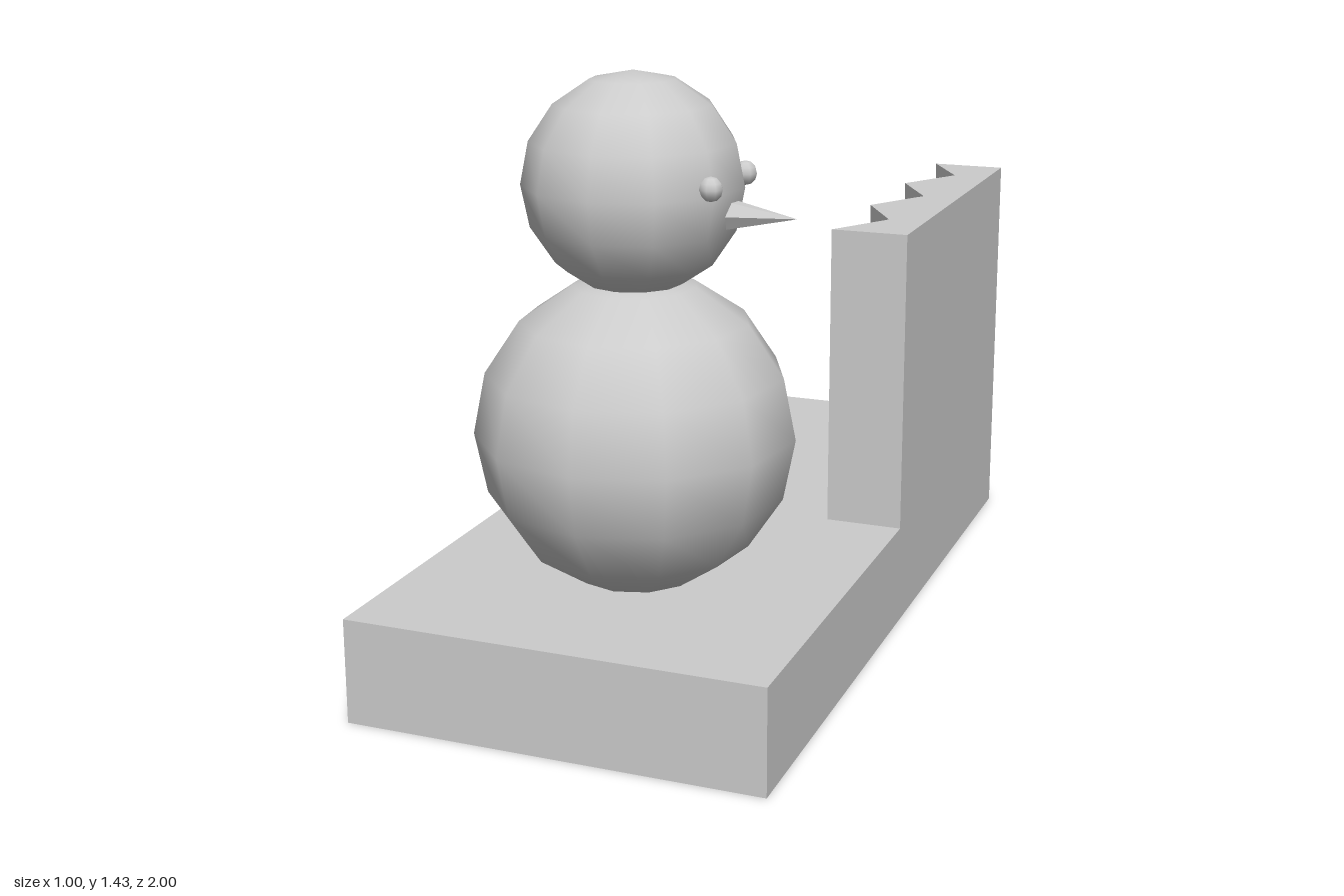
import * as THREE from 'three';

export function createModel() {
  const model = new THREE.Group();
  const grey = new THREE.MeshStandardMaterial({ color: 0xcccccc });
  grey.name = 'light grey';
  const greyFaceted = grey; // one colour throughout

  function add(name, geometry, x, y, z, parent = model) {
    const mesh = new THREE.Mesh(geometry, greyFaceted);
    mesh.name = name;
    mesh.position.set(x, y, z);
    parent.add(mesh);
    return mesh;
  }

  // Ground slab
  add('base', new THREE.BoxGeometry(1, 0.25, 2), 0, 0.125, 0);

  // Wall with a zigzag inner face; the shape's y is -z
  const outline = new THREE.Shape();
  outline.moveTo(0.5, 0);
  outline.lineTo(0.5, 1);
  for (let i = 6; i >= 0; i--) outline.lineTo(i % 2 ? 0.406 : 0.309, i / 6);
  outline.closePath();
  const wall = new THREE.ExtrudeGeometry(outline, { depth: 0.75, bevelEnabled: false });
  wall.rotateX(-Math.PI / 2);
  add('zigzagWall', wall, 0, 0.25, 0);

  // Snowman: two eleven-sided balls with a corner towards +z
  const snowman = new THREE.Group();
  snowman.name = 'snowman';
  snowman.position.z = 0.5;
  model.add(snowman);
  const ball = (r) => new THREE.SphereGeometry(r, 11, 8, Math.PI / 2);
  add('body', ball(0.375), 0, 0.6, 0, snowman);
  add('head', ball(0.255), 0, 1.18, 0, snowman);

  // Eyes
  for (const side of [-1, 1]) {
    add(side < 0 ? 'leftEye' : 'rightEye', new THREE.SphereGeometry(0.028, 8, 6), 0.226, 1.2, side * 0.109, snowman);
  }

  // Pointed six-sided nose with flat faces
  const nose = new THREE.ConeGeometry(0.038, 0.167, 6).toNonIndexed();
  nose.rotateZ(-Math.PI / 2);
  nose.computeVertexNormals();
  add('nose', nose, 0.304, 1.125, 0, snowman);

  return model;
}
